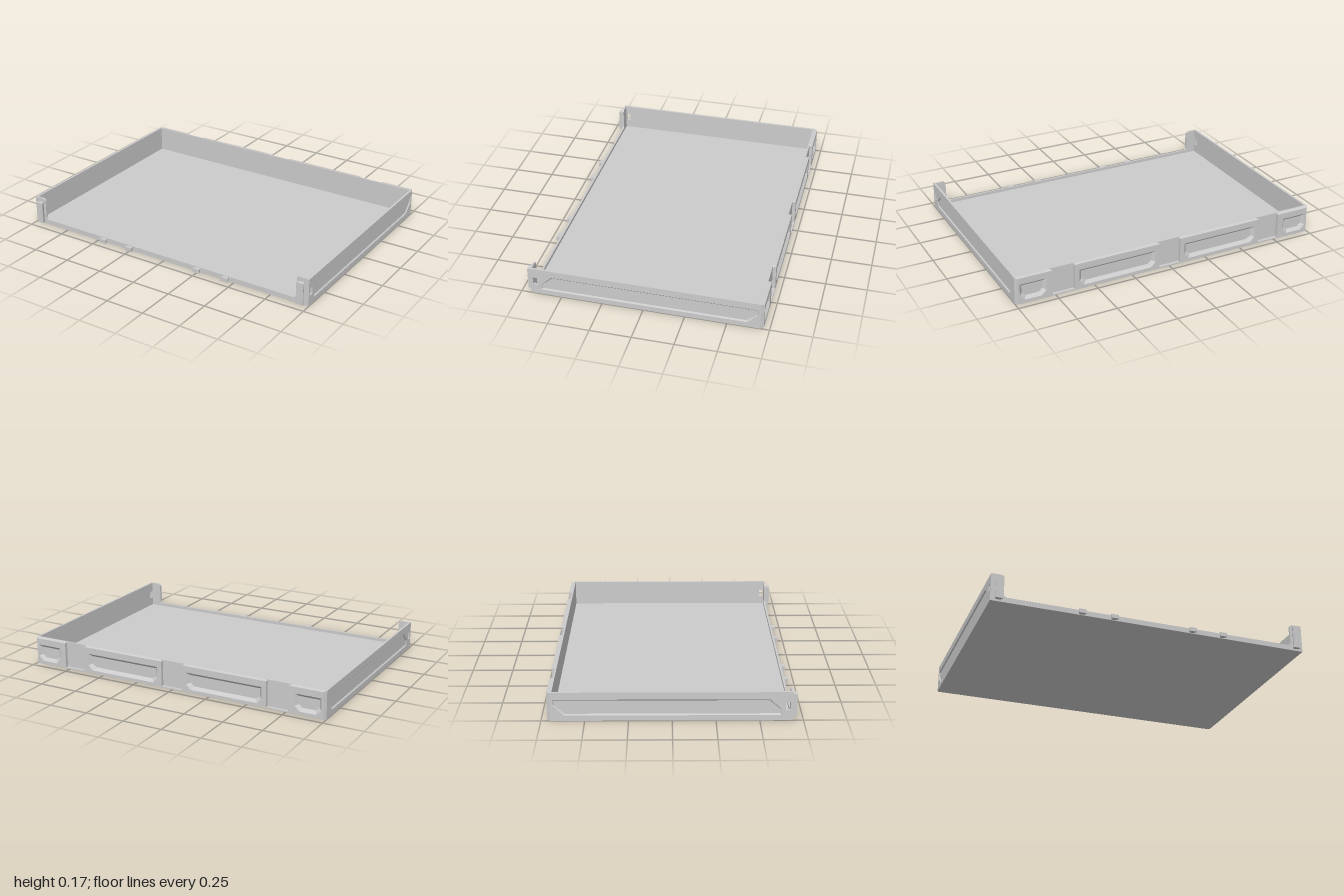
import * as THREE from 'three';

const H = 0.175, BACK = -0.715, FRONT = 0.69;
const mat = new THREE.MeshStandardMaterial({ color: 0xcccccc, flatShading: true, side: THREE.DoubleSide });

const toVectors = (pts) => pts.map(([x, y]) => new THREE.Vector2(x, y));

function add(parent, name, geometry) {
  const mesh = new THREE.Mesh(geometry, mat);
  mesh.name = name;
  parent.add(mesh);
  return mesh;
}

// Extruded plate whose outer face lies at z = zOut
function plate(outline, holes, zOut, thickness) {
  const shape = new THREE.Shape(toVectors(outline));
  holes.forEach((h) => shape.holes.push(new THREE.Path(toVectors(h))));
  const geo = new THREE.ExtrudeGeometry(shape, { depth: thickness, bevelEnabled: false });
  return geo.translate(0, 0, zOut - thickness);
}

// Sloped band leading from a recess rim down to its flat bottom
function recessBevel(rim, depth, inset) {
  const box = new THREE.Box2().setFromPoints(toVectors(rim));
  const c = box.getCenter(new THREE.Vector2()), s = box.getSize(new THREE.Vector2());
  const low = rim.map(([x, y]) => [
    c.x + (x - c.x) * (1 - 2 * inset / s.x),
    c.y + (y - c.y) * (1 - 2 * inset / s.y)]);
  const pos = [];
  rim.forEach((a, i) => {
    const j = (i + 1) % rim.length, b = rim[j];
    const A = [...a, 0], B = [...b, 0], C = [...low[j], -depth], D = [...low[i], -depth];
    pos.push(...A, ...B, ...C, ...A, ...C, ...D);
  });
  const geo = new THREE.BufferGeometry();
  geo.setAttribute('position', new THREE.Float32BufferAttribute(pos, 3));
  geo.computeVertexNormals();
  return geo;
}

// Wall made of a solid inner skin and an outer skin with bevelled recesses
function recessedWall(name, { inner, outer, recesses, slots = [], depth, thickness, inset }) {
  const wall = new THREE.Group();
  wall.name = name;
  add(wall, name + 'InnerSkin', plate(inner, slots, -depth, thickness - depth));
  add(wall, name + 'OuterSkin', plate(outer, [...recesses, ...slots], 0, depth));
  recesses.forEach((r) => add(wall, name + 'RecessBevel', recessBevel(r, depth, inset)));
  return wall;
}

// Dovetail tab standing on the front face, wider at its tip
function tab(parent, name, x, y0, y1) {
  const plan = new THREE.Shape(toVectors([[-0.014, 0], [0.014, 0], [0.023, -0.018], [0.023, -0.025], [-0.023, -0.025], [-0.023, -0.018]]));
  const geo = new THREE.ExtrudeGeometry(plan, { depth: y1 - y0, bevelEnabled: false });
  geo.rotateX(-Math.PI / 2);
  add(parent, name, geo).position.set(x, y0, FRONT);
}

export function createModel() {
  const tray = new THREE.Group();
  tray.name = 'tray';

  // Floor
  const zFront = 0.678, zBack = -0.685, wallT = 0.014;
  add(tray, 'floor', new THREE.BoxGeometry(2 - 2 * wallT, 0.012, zFront - zBack))
    .position.set(0, 0.006, (zFront + zBack) / 2);

  // Side walls, each with a long recess and a slot near the front
  for (const side of [1, -1]) {
    const map = (pts) => pts.map(([z, y]) => [-side * z, y]);
    const outline = map([[zBack, 0], [zFront, 0], [zFront, H], [zBack, H]]);
    const wall = recessedWall(side > 0 ? 'leftWall' : 'rightWall', {
      inner: outline, outer: outline, depth: 0.007, thickness: wallT, inset: 0.008,
      recesses: [map([[0.625, 0.033], [-0.62, 0.033], [-0.683, 0.098], [-0.683, 0.131], [0.56, 0.131], [0.625, 0.066]])],
      slots: [map([[0.647, 0.065], [0.674, 0.065], [0.674, 0.113], [0.647, 0.113]])],
    });
    wall.rotation.y = side * Math.PI / 2;
    wall.position.x = side;
    tray.add(wall);
  }

  // Back wall: three grooves open at the top, four recesses
  const top = [];
  for (const x of [0.7, 0, -0.7]) {
    top.push([x + 0.082, H], [x + 0.07, H - 0.006], [x + 0.07, 0.012], [x - 0.07, 0.012], [x - 0.07, H - 0.006], [x - 0.082, H]);
  }
  const pocket = (a, b, c) => [[a + c, 0.025], [b - c, 0.025], [b, 0.025 + c], [b, 0.13], [a, 0.13], [a, 0.025 + c]];
  const back = recessedWall('backWall', {
    inner: [[-1, 0], [1, 0], [1, H], [-1, H]],
    outer: [[-1, 0], [1, 0], [1, H], ...top, [-1, H]],
    depth: 0.02, thickness: zBack - BACK, inset: 0.018,
    recesses: [pocket(-0.975, -0.81, 0.03), pocket(-0.6, -0.1, 0.03), pocket(0.1, 0.6, 0.03), pocket(0.81, 0.975, 0.03)],
  });
  // Chamfer the outer rim of the back wall
  const skin = back.children[1].geometry, p = skin.attributes.position;
  for (let i = 0; i < p.count; i++) {
    if (p.getZ(i) < -0.001) continue;
    if (Math.abs(p.getX(i)) > 0.999) p.setX(i, Math.sign(p.getX(i)) * 0.987);
    if (p.getY(i) > H - 0.001) p.setY(i, H - 0.005);
    if (p.getY(i) < 0.001) p.setY(i, 0.004);
  }
  skin.computeVertexNormals();
  back.rotation.y = Math.PI;
  back.position.z = BACK;
  tray.add(back);

  // Front lip with two corner posts and a rounded opening
  const lip = new THREE.Shape();
  const e = 0.92, r = 0.022, y0 = 0.032;
  lip.moveTo(-1, 0);
  lip.lineTo(1, 0);
  lip.lineTo(1, H);
  lip.lineTo(e + r, H);
  lip.quadraticCurveTo(e, H, e, H - r);
  lip.lineTo(e, y0 + r);
  lip.quadraticCurveTo(e, y0, e - r, y0);
  lip.lineTo(-e + r, y0);
  lip.quadraticCurveTo(-e, y0, -e, y0 + r);
  lip.lineTo(-e, H - r);
  lip.quadraticCurveTo(-e, H, -e - r, H);
  lip.lineTo(-1, H);
  const lipGeo = new THREE.ExtrudeGeometry(lip, { depth: FRONT - zFront, bevelEnabled: false, curveSegments: 6 });
  add(tray, 'frontLip', lipGeo).position.z = zFront;

  // Dovetail tabs along the front
  for (const s of [1, -1]) {
    tab(tray, 'postTab', s * 0.953, 0.012, 0.15);
    for (const x of [0.25, 0.45]) tab(tray, 'lipTab', s * x, 0.004, 0.029);
  }

  return tray;
}
